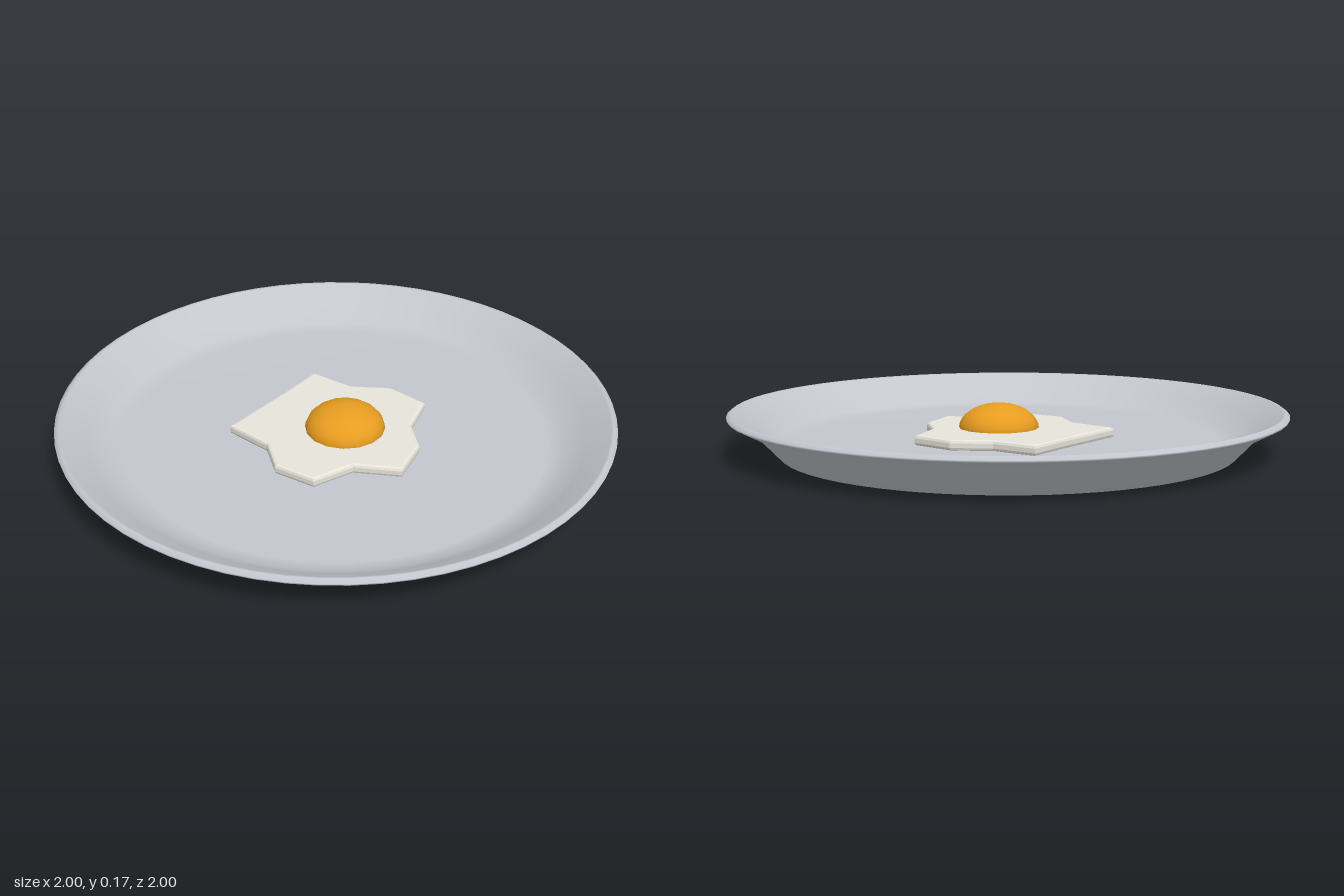
import * as THREE from 'three';

const flat = (name, color) => {
  const m = new THREE.MeshStandardMaterial({ color });
  m.name = name;
  return m;
};

export function createModel() {
  const model = new THREE.Group();
  model.name = 'friedEggOnPlate';
  const porcelain = flat('greyPorcelain', 0xc3c6cd);
  const white = flat('eggWhite', 0xe8e4dc);
  const yellow = flat('yolkOrange', 0xf5a623);

  const add = (name, geometry, material) => {
    const mesh = new THREE.Mesh(geometry, material);
    mesh.name = name;
    model.add(mesh);
    return mesh;
  };

  // Plate: closed profile from the underside centre, round the rim, to the inner floor
  const profile = [
    [0, 0], [0.76, 0], [0.82, 0.003], [0.9, 0.087], [0.998, 0.138], [1, 0.145],
    [0.985, 0.156], [0.975, 0.154], [0.89, 0.1], [0.82, 0.052], [0.76, 0.043], [0, 0.043],
  ].map(([r, y]) => new THREE.Vector2(r, y));
  add('plate', new THREE.LatheGeometry(profile, 64), porcelain);

  // Egg white: irregular bevelled slab, outline given as x, z
  const outline = [
    [-0.24, -0.305], [-0.07, -0.277], [0.07, -0.33], [0.23, -0.285], [0.245, -0.12],
    [0.325, -0.01], [0.33, 0.157], [0.165, 0.207], [0.08, 0.345], [-0.08, 0.325],
    [-0.17, 0.215], [-0.345, 0.165], [-0.277, -0.12],
  ].map(([x, z]) => new THREE.Vector2(x, -z));
  const bevel = 0.011;
  const slab = new THREE.ExtrudeGeometry(new THREE.Shape(outline), {
    depth: 0.016, bevelEnabled: true, bevelThickness: bevel, bevelSize: bevel,
    bevelOffset: -bevel, bevelSegments: 2,
  });
  slab.rotateX(-Math.PI / 2);
  add('eggWhite', slab, white).position.y = 0.042 + bevel;

  // Yolk: flattened dome resting on the white
  const dome = new THREE.SphereGeometry(0.145, 16, 8, 0, Math.PI * 2, 0, Math.PI / 2);
  dome.scale(1, 0.09 / 0.145, 1);
  add('yolk', dome, yellow).position.set(0.035, 0.078, -0.003);

  return model;
}
